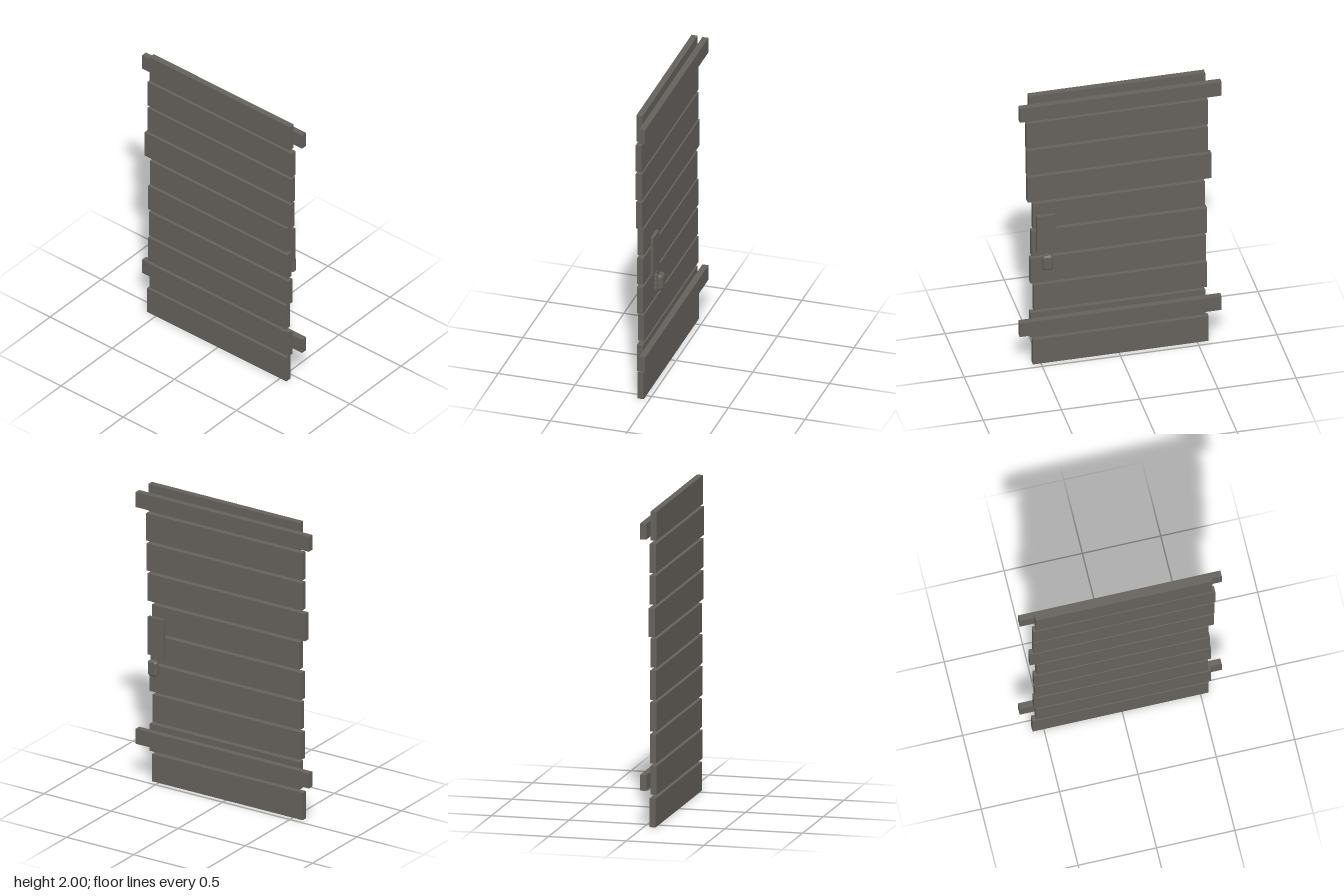
import * as THREE from 'three';

export function createModel() {
  const model = new THREE.Group();
  const weathered = new THREE.MeshStandardMaterial({ color: 0x65615c });
  weathered.name = 'weathered grey';

  function add(name, geometry, parent = model) {
    const mesh = new THREE.Mesh(geometry, weathered);
    mesh.name = name;
    parent.add(mesh);
    return mesh;
  }

  // Box given by its lower and upper limits on each axis
  function box(name, [x0, x1], [y0, y1], [z0, z1]) {
    const mesh = add(name, new THREE.BoxGeometry(x1 - x0, y1 - y0, z1 - z0));
    mesh.position.set((x0 + x1) / 2, (y0 + y1) / 2, (z0 + z1) / 2);
  }

  // Horizontal planks with uneven ends, bottom to top
  const plankEnds = [
    [-0.572, 0.551], [-0.55, 0.567], [-0.562, 0.546], [-0.556, 0.567], [-0.562, 0.561],
    [-0.547, 0.551], [-0.59, 0.585], [-0.567, 0.59], [-0.567, 0.594], [-0.55, 0.577],
  ];
  const plankHeight = 0.183;
  const pitch = (2 - plankHeight) / 9;
  plankEnds.forEach((ends, i) => {
    box('plank' + (i + 1), ends, [i * pitch, i * pitch + plankHeight], [0.035, 0.075]);
  });

  // Long rails across the back
  box('lowerRail', [-0.645, 0.645], [0.245, 0.346], [-0.005, 0.035]);
  box('upperRail', [-0.645, 0.645], [1.842, 1.943], [-0.005, 0.035]);

  // Lock plate on the back
  box('lockPlate', [0.423, 0.542], [0.88, 1.135], [-0.026, -0.005]);

  // Stack of small rings hanging under the plate
  const latch = new THREE.Group();
  latch.name = 'latch';
  latch.position.set(0.482, 0, -0.021);
  model.add(latch);
  const ringGeometry = new THREE.CylinderGeometry(0.011, 0.011, 0.018, 8).toNonIndexed();
  ringGeometry.computeVertexNormals();
  for (let i = 0; i < 5; i++) {
    add('ring' + (i + 1), ringGeometry, latch).position.y = 0.755 + i * 0.029;
  }

  // Lock body: a block with every edge chamfered
  const bevel = 0.01, w = 0.034 - bevel, h = 0.052 - bevel, c = 0.006;
  const outline = new THREE.Shape([
    [w - c, -h], [w, -h + c], [w, h - c], [w - c, h],
    [-w + c, h], [-w, h - c], [-w, -h + c], [-w + c, -h],
  ].map(([x, y]) => new THREE.Vector2(x, y)));
  const body = new THREE.ExtrudeGeometry(outline, {
    depth: 0.018, bevelEnabled: true, bevelThickness: bevel, bevelSize: bevel, bevelSegments: 1,
  });
  add('lockBody', body).position.set(0.481, 0.812, -0.065);

  return model;
}
